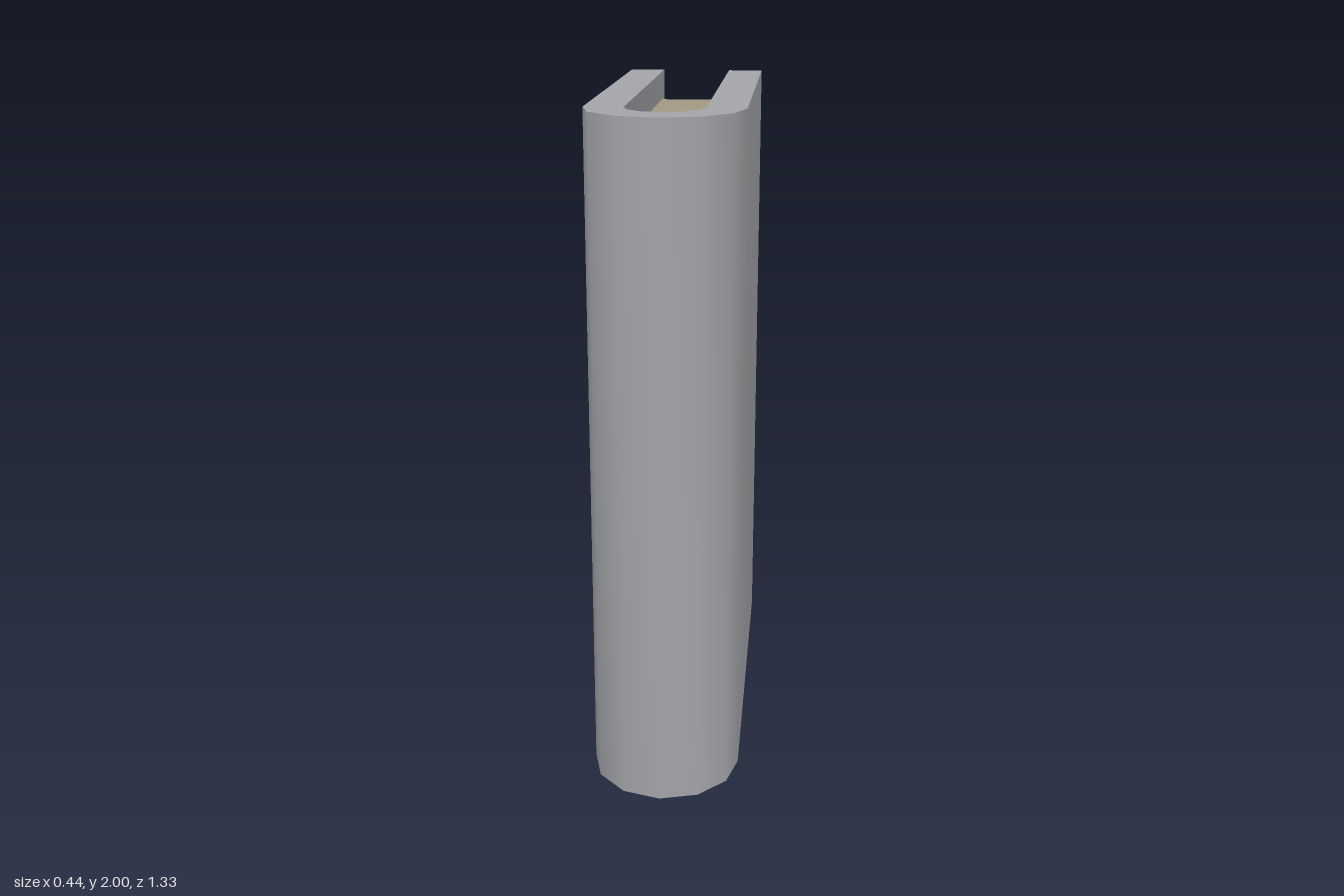
import * as THREE from 'three';
import { toCreasedNormals } from 'three/addons/utils/BufferGeometryUtils.js';

const BACK = -0.665;      // fore edge of the covers
const PAGE_BACK = -0.58;  // fore edge of the pages
const INSET = 0.09;       // pages sit below the cover edges

// Plan outline running from the back on +x, round the spine, to the back on -x
function spineOutline(radius, centreZ, backZ) {
  const points = [new THREE.Vector2(radius, -backZ)];
  for (let i = 0; i <= 6; i++) {
    const a = (i / 6) * Math.PI;
    points.push(new THREE.Vector2(radius * Math.cos(a), -(centreZ + radius * Math.sin(a))));
  }
  points.push(new THREE.Vector2(-radius, -backZ));
  return points;
}

// Plan shape raised into an upright prism with a smooth spine and sharp edges
function upright(points, bottom, height) {
  const geometry = new THREE.ExtrudeGeometry(new THREE.Shape(points), { depth: height, bevelEnabled: false });
  geometry.rotateX(-Math.PI / 2);
  geometry.translate(0, bottom, 0);
  return toCreasedNormals(geometry, Math.PI / 4);
}

export function createModel() {
  const group = new THREE.Group();
  group.name = 'book';

  const coverGrey = new THREE.MeshStandardMaterial({ color: 0xa3a4a8 });
  coverGrey.name = 'cover grey';
  const pageTan = new THREE.MeshStandardMaterial({ color: 0xa39883 });
  pageTan.name = 'page tan';

  // U-shaped cover: two boards joined by the rounded spine
  const outer = spineOutline(0.222, 0.443, BACK);
  const inner = spineOutline(0.111, 0.437, BACK);
  const cover = new THREE.Mesh(upright([...outer, ...inner.reverse()], 0, 2), coverGrey);
  cover.name = 'cover';
  group.add(cover);

  // Page block filling the cover
  const pages = new THREE.Mesh(
    upright(spineOutline(0.111, 0.437, PAGE_BACK), INSET, 2 - 2 * INSET), pageTan);
  pages.name = 'pages';
  group.add(pages);

  return group;
}
